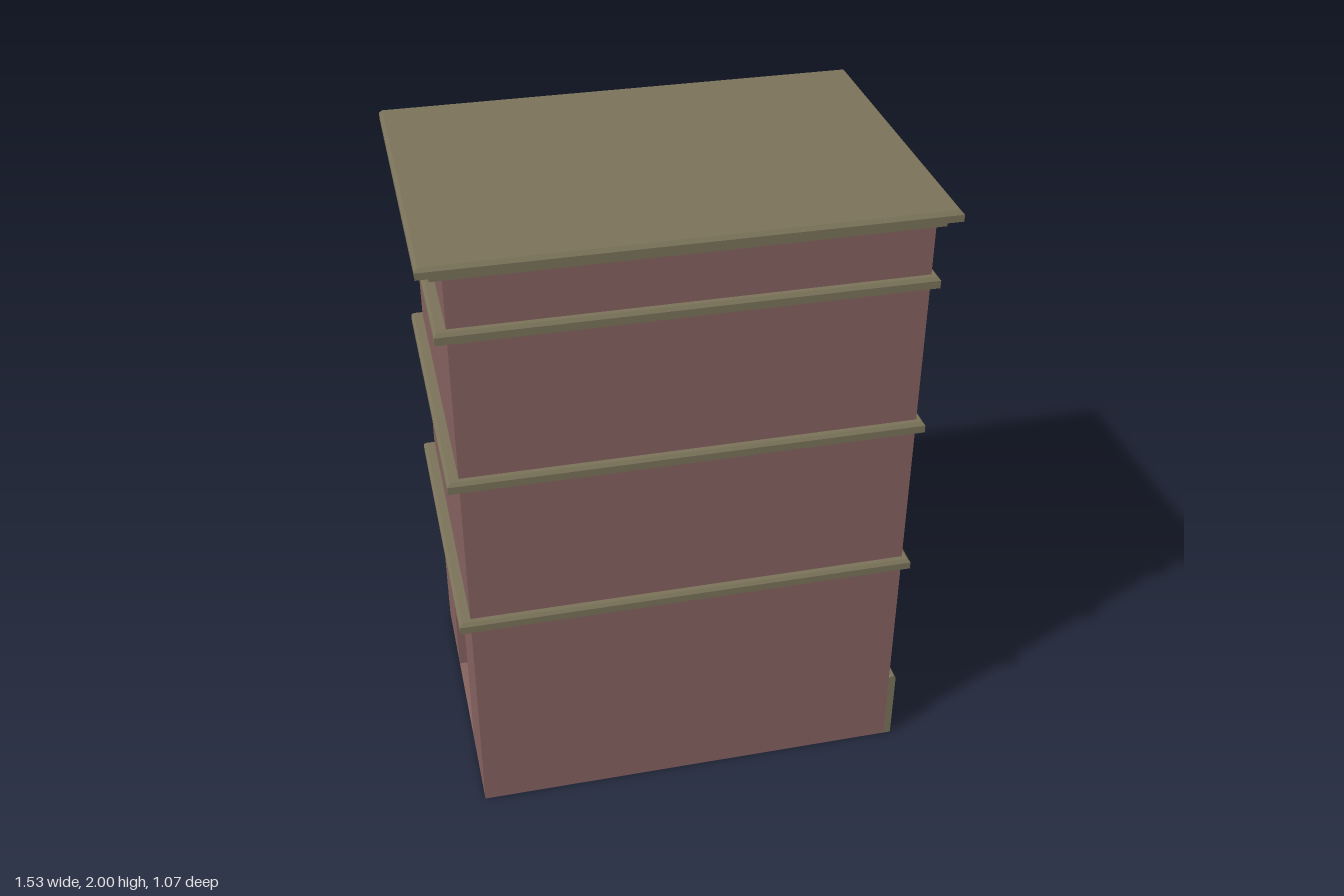
import * as THREE from 'three';

const mat = (name, color) => Object.assign(new THREE.MeshStandardMaterial({ color }), { name });

// Flat-faced solid or funnel through rectangular rings [y, halfX, halfZ]
function loft(rings, caps = true) {
  const pos = [];
  const corners = rings.map(([y, hx, hz]) => [[-hx, y, hz], [hx, y, hz], [hx, y, -hz], [-hx, y, -hz]]);
  const quad = (a, b, c, d) => pos.push(...a, ...b, ...c, ...a, ...c, ...d);
  for (let i = 0; i < rings.length - 1; i++) {
    const lo = corners[i], hi = corners[i + 1];
    for (let k = 0; k < 4; k++) {
      const n = (k + 1) % 4;
      quad(lo[k], lo[n], hi[n], hi[k]);
    }
  }
  if (caps) {
    const [a, b, c, d] = corners[0];
    quad(d, c, b, a);
    quad(...corners[corners.length - 1]);
  }
  const g = new THREE.BufferGeometry();
  g.setAttribute('position', new THREE.Float32BufferAttribute(pos, 3));
  g.computeVertexNormals();
  return g;
}

export function createModel() {
  const group = new THREE.Group();
  group.name = 'towerHouse';
  const wall = mat('brickRed', 0x85625f);
  const stone = mat('oliveStone', 0x7a7259);
  const lit = mat('litYellow', 0xd2c822);
  const dark = mat('darkGlass', 0x0c0c0e);

  const add = (name, geometry, material, x = 0, y = 0, z = 0) => {
    const m = new THREE.Mesh(geometry, material);
    m.name = name;
    m.position.set(x, y, z);
    group.add(m);
    return m;
  };

  const X0 = -0.697, X1 = 0.675, ZF = 0.483, ZB = -0.471; // wall faces
  const CX = -0.0185, CZ = 0.0075;                        // centre of the mouldings
  const recess = 0.02, TOP = 1.95;
  const archZ = 0.007, archR = 0.191, spring = 0.473;

  // Windows on the facade: centre z, bottom, top, pane
  const windows = [
    [0.391, 1.346, 1.636, lit], [0.009, 1.346, 1.636, lit], [-0.373, 1.346, 1.636, dark],
    [0.391, 0.853, 1.146, lit], [0.009, 0.790, 1.204, dark], [-0.373, 0.853, 1.146, lit],
  ];
  const halfW = 0.057, splay = 0.02;

  // Wall outline with the arched passage, drawn with shape x = -z
  const outline = () => {
    const s = new THREE.Shape();
    s.moveTo(-ZF, 0);
    s.lineTo(-archZ - archR, 0);
    s.lineTo(-archZ - archR, spring);
    s.absarc(-archZ, spring, archR, Math.PI, 0, true);
    s.lineTo(-archZ + archR, 0);
    s.lineTo(-ZB, 0);
    s.lineTo(-ZB, TOP);
    s.lineTo(-ZF, TOP);
    s.closePath();
    return s;
  };
  const wallSlab = (shape, depth) =>
    new THREE.ExtrudeGeometry(shape, { depth, bevelEnabled: false, curveSegments: 20 }).rotateY(Math.PI / 2);

  add('wallBody', wallSlab(outline(), X1 - recess - X0), wall, X0);

  // Facade layer pierced by the windows
  const facade = outline();
  for (const [z, b, t] of windows) {
    const h = new THREE.Path();
    h.moveTo(-z - halfW, b);
    h.lineTo(-z - halfW, t);
    h.lineTo(-z + halfW, t);
    h.lineTo(-z + halfW, b);
    h.closePath();
    facade.holes.push(h);
  }
  add('facade', wallSlab(facade, recess), wall, X1 - recess);

  // Passage floor
  add('passageFloor', new THREE.BoxGeometry(X1 - X0, 0.004, 2 * archR), wall, (X0 + X1) / 2, 0.002, archZ);

  // Splayed frames and panes
  for (const [z, b, t, pane] of windows) {
    const hh = (t - b) / 2, y = (t + b) / 2;
    const frame = loft([[0, hh, halfW], [-recess + 0.001, hh - splay, halfW - splay]], false);
    add('windowFrame', frame.rotateZ(-Math.PI / 2), stone, X1, y, z);
    const glass = new THREE.PlaneGeometry(2 * (halfW - splay), 2 * (hh - splay)).rotateY(Math.PI / 2);
    add('windowPane', glass, pane, X1 - recess + 0.001, y, z);
  }

  // String courses with a chamfered top edge
  for (const y of [0.737, 1.258, 1.75]) {
    add('stringCourse', loft([[0, 0.7145, 0.5], [0.024, 0.7145, 0.5], [0.034, 0.706, 0.4915]]), stone, CX, y, CZ);
  }

  // Stepped cornice and flat roof
  add('roof', loft([
    [1.945, 0.7145, 0.5], [1.968, 0.7145, 0.5], [1.968, 0.7515, 0.5265],
    [1.989, 0.7515, 0.5265], [2, 0.741, 0.516],
  ]), stone, CX, 0, CZ);

  // Plinth slabs either side of the arch; the rear one runs past the corner
  for (const [z0, z1] of [[archZ + archR, ZF], [-0.534, archZ - archR]]) {
    const hz = (z1 - z0) / 2;
    add('plinth', loft([[0, 0.0125, hz], [0.248, 0.0125, hz], [0.257, 0.006, hz]]), stone, 0.6865, 0, (z0 + z1) / 2);
  }

  // Drain spouts with slanted tips
  for (const z of [0.165, -0.308]) {
    const g = new THREE.CylinderGeometry(0.012, 0.012, 0.1, 10).rotateZ(-Math.PI / 2);
    const p = g.attributes.position;
    for (let i = 0; i < p.count; i++) {
      if (p.getX(i) > 0) p.setX(i, 0.043 + (p.getY(i) / 0.012) * 0.011);
    }
    g.computeVertexNormals();
    add('drainSpout', g, wall, 0.711, 1.873, z);
  }

  return group;
}
